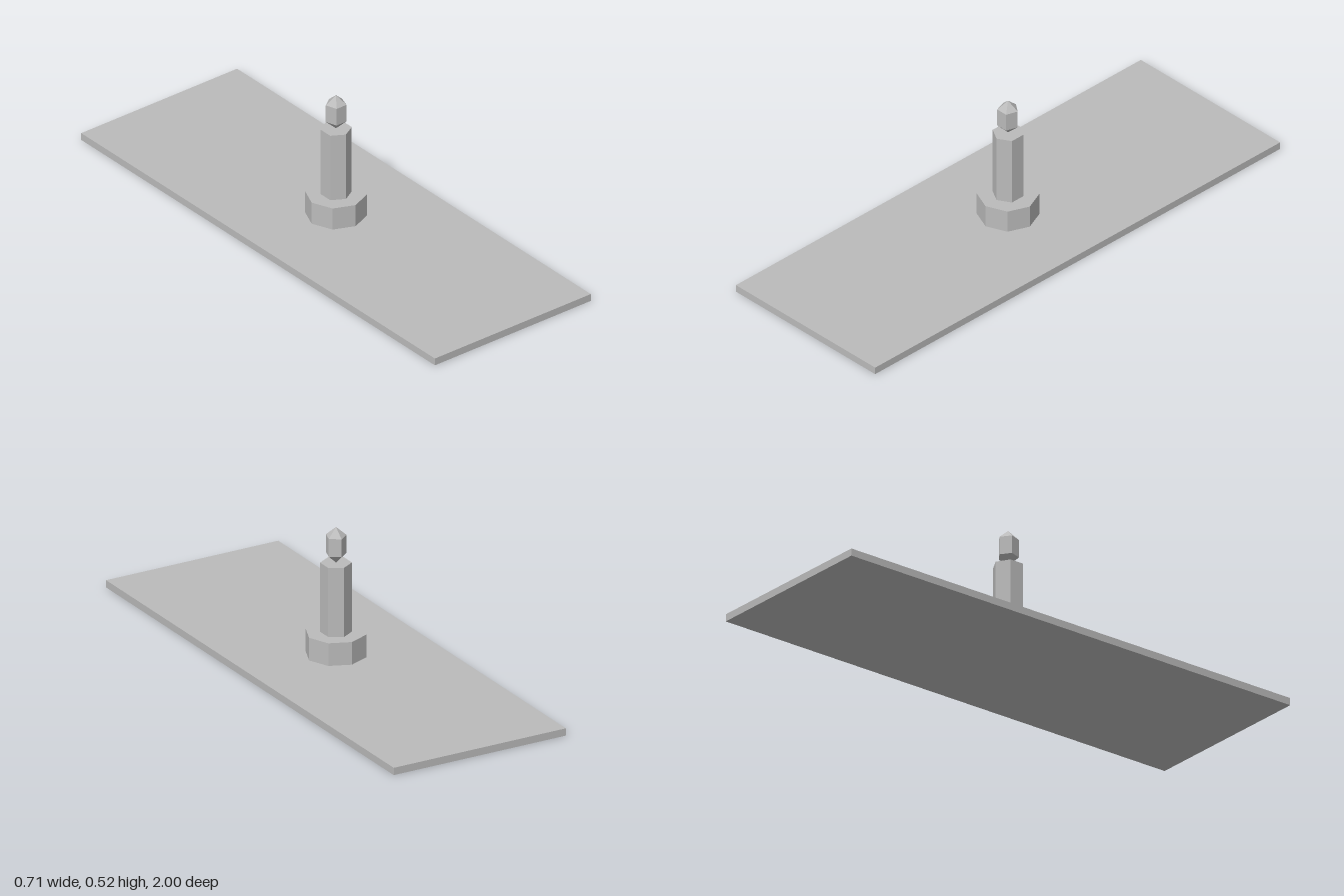
import * as THREE from 'three';

export function createModel() {
  const model = new THREE.Group();
  model.name = 'candleOnSlab';

  const stone = new THREE.MeshStandardMaterial({ color: 0xbbbbbb });
  stone.name = 'paleGrey';

  function add(name, geometry, y) {
    // separate the faces so every facet stays flat
    const flat = geometry.index ? geometry.toNonIndexed() : geometry;
    flat.computeVertexNormals();
    const mesh = new THREE.Mesh(flat, stone);
    mesh.name = name;
    mesh.position.y = y;
    model.add(mesh);
  }

  // upright prism between two heights, one corner facing the front
  function prism(name, radius, sides, bottom, top) {
    const geometry = new THREE.CylinderGeometry(radius, radius, top - bottom, sides);
    add(name, geometry, (bottom + top) / 2);
  }

  // long thin slab
  add('slab', new THREE.BoxGeometry(0.71, 0.028, 2), 0.014);

  // octagonal holder and hexagonal candle
  prism('holder', 0.111, 8, 0.028, 0.115);
  prism('candle', 0.0565, 6, 0.115, 0.381);

  // five-sided flame, a flat face to the front
  const flame = new THREE.SphereGeometry(0.0685, 5, 3);
  flame.rotateY(-Math.PI / 2);
  flame.scale(0.658, 1, 0.658);
  add('flame', flame, 0.4495);

  return model;
}
